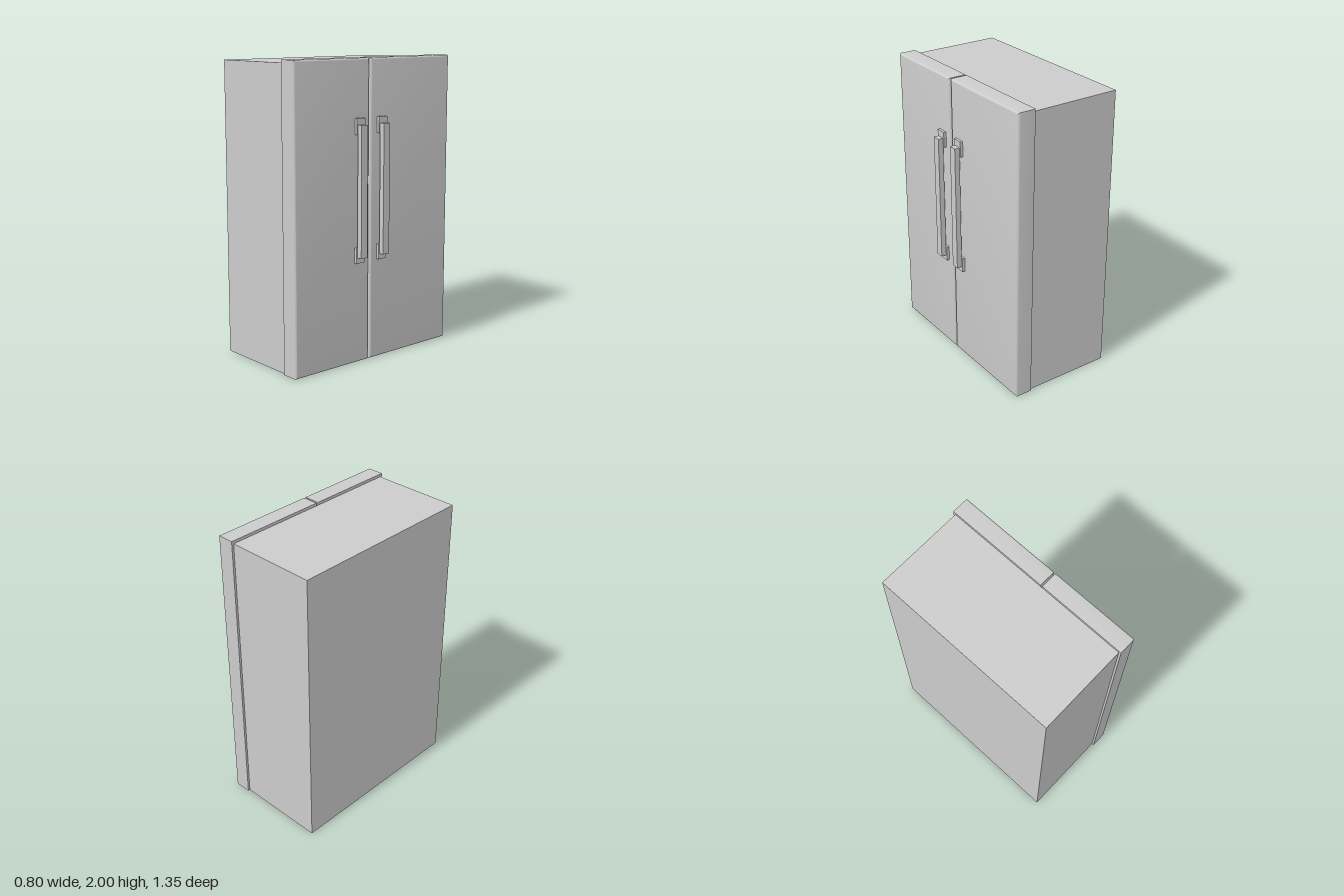
import * as THREE from 'three';
import { toCreasedNormals } from 'three/addons/utils/BufferGeometryUtils.js';

const material = new THREE.MeshStandardMaterial({ color: 0xcccccc });

// Box mesh given by its extents on each axis
function boxPart(name, [x0, x1], [y0, y1], [z0, z1]) {
  const geometry = new THREE.BoxGeometry(x1 - x0, y1 - y0, z1 - z0);
  const mesh = new THREE.Mesh(geometry, material);
  mesh.name = name;
  mesh.position.set((x0 + x1) / 2, (y0 + y1) / 2, (z0 + z1) / 2);
  return mesh;
}

// Door slab: square back edges, rounded edges around the outer (+x) face
function doorPanel([x0, x1], [y0, y1], [z0, z1], radius) {
  const steps = 5;
  const t = x1 - x0, h = y1 - y0, w = z1 - z0;
  const geometry = new THREE.BoxGeometry(t, h, w, steps, 1, 1);
  const p = geometry.attributes.position;
  for (let i = 0; i < p.count; i++) {
    const ring = Math.round((p.getX(i) / t + 0.5) * steps);
    if (ring === 0) continue;
    const a = ((ring - 1) / (steps - 1)) * Math.PI / 2;
    const inset = radius * (1 - Math.cos(a));
    p.setXYZ(i,
      t / 2 - radius + radius * Math.sin(a),
      p.getY(i) - Math.sign(p.getY(i)) * inset,
      p.getZ(i) - Math.sign(p.getZ(i)) * inset);
  }
  const mesh = new THREE.Mesh(toCreasedNormals(geometry, 0.6), material);
  mesh.name = 'doorPanel';
  mesh.position.set((x0 + x1) / 2, (y0 + y1) / 2, (z0 + z1) / 2);
  return mesh;
}

// Vertical bar on two mounting blocks
function handle(z) {
  const group = new THREE.Group();
  group.name = 'handle';
  group.add(boxPart('handleBar', [0.364, 0.4], [0.715, 1.58], [z - 0.027, z + 0.027]));
  for (const [y0, y1] of [[0.677, 0.78], [1.517, 1.622]]) {
    group.add(boxPart('handleMount', [0.343, 0.364], [y0, y1], [z - 0.036, z + 0.036]));
  }
  return group;
}

export function createModel() {
  const model = new THREE.Group();
  model.name = 'refrigerator';

  // Cabinet
  model.add(boxPart('cabinet', [-0.4, 0.224], [0, 1.98], [-0.66, 0.66]));

  // Wide and narrow doors with handles beside the gap
  const doors = [
    { name: 'wideDoor', z: [-0.675, 0.046], handleZ: -0.047 },
    { name: 'narrowDoor', z: [0.058, 0.675], handleZ: 0.147 },
  ];
  for (const { name, z, handleZ } of doors) {
    const door = new THREE.Group();
    door.name = name;
    door.add(doorPanel([0.224, 0.345], [0, 2], z, 0.013), handle(handleZ));
    model.add(door);
  }
  return model;
}
